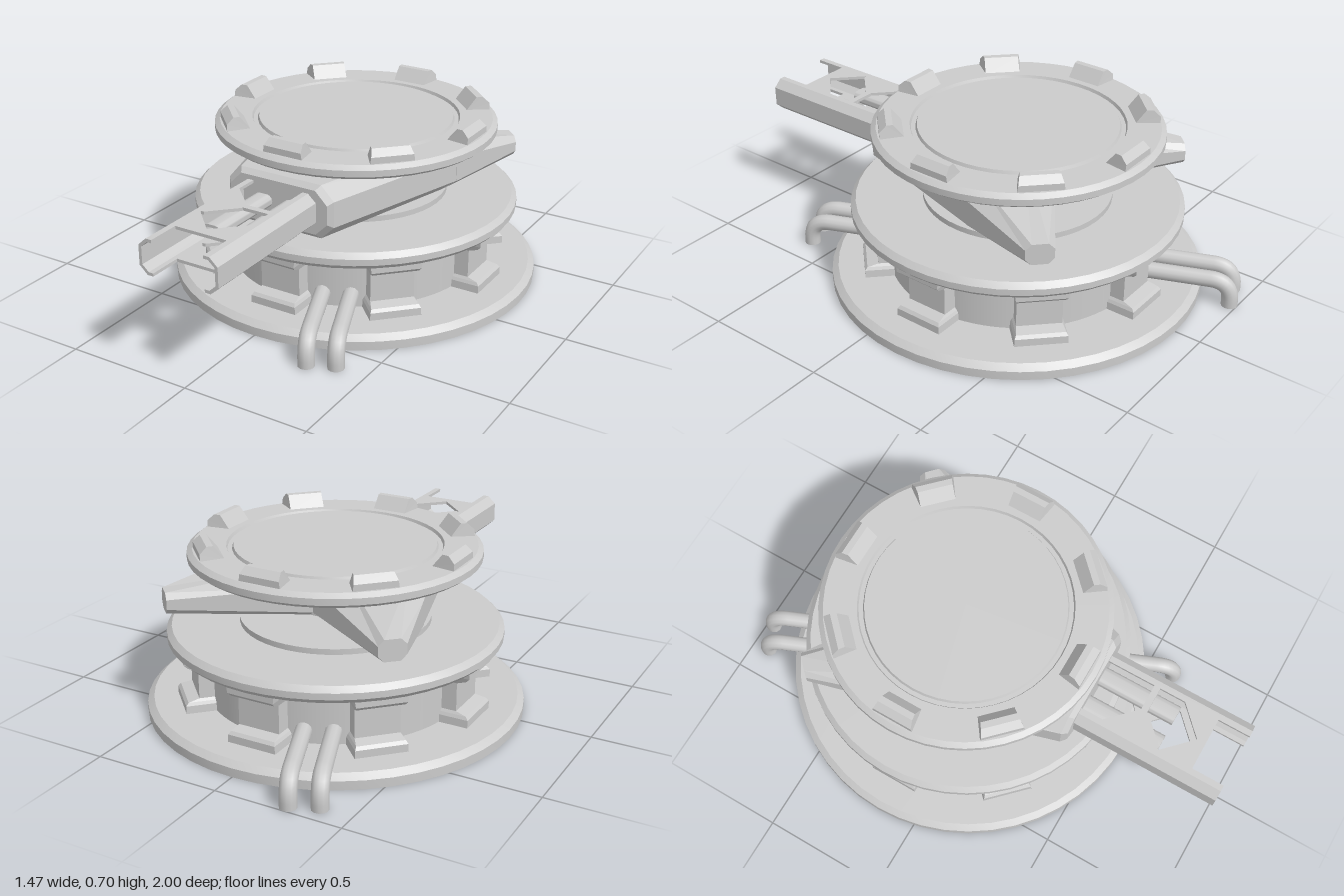
import * as THREE from 'three';
import { toCreasedNormals } from 'three/addons/utils/BufferGeometryUtils.js';

const AXIS_Z = -0.158; // the round parts turn about this line
const V2 = (x, y) => new THREE.Vector2(x, y);

export function createModel() {
  const root = new THREE.Group();
  const mat = new THREE.MeshStandardMaterial({ color: 0xcccccc, side: THREE.DoubleSide });
  const flat = new THREE.MeshStandardMaterial({ color: 0xcccccc, side: THREE.DoubleSide, flatShading: true });
  const turret = new THREE.Group();
  turret.name = 'roundStack';
  turret.position.z = AXIS_Z;
  root.add(turret);

  const add = (name, geo, parent = root, m = flat) => {
    const mesh = new THREE.Mesh(geo, m);
    mesh.name = name;
    parent.add(mesh);
    return mesh;
  };
  const shapeOf = pts => new THREE.Shape(pts.map(p => V2(p[0], p[1])));
  const extrude = (shape, depth) => new THREE.ExtrudeGeometry(shape, { depth, bevelEnabled: false, curveSegments: 6 });
  const lathe = (name, pts) => add(name, toCreasedNormals(
    new THREE.LatheGeometry(pts.map(p => V2(p[0], p[1])), 48), 0.4), turret, mat);

  // Hollow base rim, discs and the short necks above and below the gun body
  lathe('baseRim', [[0.7, 0.045], [0.715, 0.045], [0.727, 0.035], [0.727, 0], [0.737, 0], [0.737, 0.035],
    [0.712, 0.055], [0.7, 0.055]]);
  lathe('middleDisc', [[0, 0.28], [0.63, 0.28], [0.65, 0.3], [0.65, 0.325], [0.63, 0.345], [0, 0.345]]);
  lathe('lowerNeck', [[0.37, 0.34], [0.37, 0.367], [0, 0.367]]);
  lathe('upperNeck', [[0, 0.577], [0.37, 0.577], [0.37, 0.6]]);
  lathe('topDisc', [[0, 0.595], [0.54, 0.595], [0.56, 0.61], [0.56, 0.635], [0.54, 0.65], [0.412, 0.65],
    [0.407, 0.638], [0.39, 0.638], [0.385, 0.65], [0, 0.65]]);

  // Base plate, its opening notched under each of the eight columns
  const plateShape = new THREE.Shape();
  const opening = [];
  for (let k = 0; k < 48; k++) {
    const a = k * Math.PI / 24, x = 0.705 * Math.cos(a), y = 0.705 * Math.sin(a);
    if (k) plateShape.lineTo(x, y); else plateShape.moveTo(x, y);
  }
  for (let k = 0; k < 8; k++) {
    const a = k * Math.PI / 4;
    for (const [r, t] of [[0.495, -0.1], [0.61, -0.1], [0.61, 0.1], [0.495, 0.1]])
      opening.push(V2(r * Math.cos(a) - t * Math.sin(a), r * Math.sin(a) + t * Math.cos(a)));
    for (const b of [0.3, 0.393, 0.485]) opening.push(V2(0.505 * Math.cos(a + b), 0.505 * Math.sin(a + b)));
  }
  plateShape.holes.push(new THREE.Path(opening));
  add('basePlate', extrude(plateShape, 0.01).rotateX(-Math.PI / 2).translate(0, 0.045, 0), turret);

  // Skin over a run of cross-sections; closed ones also get their ends filled
  const loft = (rings, closed = true) => {
    const n = rings[0].length, idx = [];
    for (let r = 0; r < rings.length - 1; r++)
      for (let i = 0; i < (closed ? n : n - 1); i++) {
        const j = (i + 1) % n, a = r * n, b = a + n;
        idx.push(a + i, b + i, a + j, b + i, b + j, a + j);
      }
    const last = (rings.length - 1) * n;
    if (closed)
      for (let i = 1; i < n - 1; i++) idx.push(0, i, i + 1, last, last + i + 1, last + i);
    const g = new THREE.BufferGeometry();
    g.setAttribute('position', new THREE.Float32BufferAttribute(rings.flat(2), 3));
    g.setIndex(idx);
    const out = g.toNonIndexed();
    out.computeVertexNormals();
    return out;
  };

  // Hollow columns flaring at foot and head: [radius, height, half width]
  const column = loft([[0.61, 0.045, 0.1], [0.61, 0.085, 0.098], [0.6, 0.097, 0.092], [0.557, 0.107, 0.085],
    [0.557, 0.22, 0.085], [0.595, 0.235, 0.09], [0.61, 0.25, 0.095], [0.61, 0.285, 0.1]]
    .map(([r, y, w]) => [[0.495, y, -w], [r, y, -w], [r, y, w], [0.495, y, w]]).reverse(), false);
  const wall = new THREE.CylinderGeometry(0.505, 0.505, 0.237, 6, 1, true, Math.PI / 2 + 0.168, Math.PI / 4 - 0.336);
  wall.translate(0, 0.1635, 0);

  // Wedge-shaped block on the top rim
  const rimLug = extrude(shapeOf([[0.435, 0.645], [0.53, 0.645], [0.53, 0.675], [0.503, 0.7], [0.478, 0.7]]), 2);
  const p = rimLug.attributes.position;
  for (let i = 0; i < p.count; i++) {
    const half = 0.085 - (p.getY(i) - 0.645) * 0.15;
    p.setZ(i, (p.getZ(i) - 1) * half * p.getX(i) / 0.53);
  }

  for (let k = 0; k < 8; k++) {
    const turn = k * Math.PI / 4;
    add('drumColumn', column, turret).rotation.y = turn;
    add('drumWall', wall, turret, mat).rotation.y = turn;
    add('rimLug', rimLug, turret).rotation.y = turn;
  }

  // Octagon standing between two plan points [x, z], corners cut by cx and cy
  const octagon = (p, q, y0, y1, cx, cy) => {
    const f = cx / Math.hypot(q[0] - p[0], q[1] - p[1]);
    const at = (t, y) => [p[0] + (q[0] - p[0]) * t, y, p[1] + (q[1] - p[1]) * t];
    return [at(f, y0), at(1 - f, y0), at(1, y0 + cy), at(1, y1 - cy),
      at(1 - f, y1), at(f, y1), at(0, y1 - cy), at(0, y0 + cy)];
  };

  // Three-pointed body: blunt nose in front, two horns behind
  add('armBody', loft([
    octagon([-0.212, 0.405], [0.212, 0.405], 0.385, 0.56, 0.05, 0.05),
    octagon([-0.23, 0.385], [0.23, 0.385], 0.366, 0.578, 0.055, 0.055),
    octagon([-0.415, -0.24], [0.415, -0.24], 0.366, 0.578, 0.07, 0.055),
  ]));
  for (const s of [1, -1]) {
    const order = (inner, outer) => s > 0 ? [inner, outer] : [[-outer[0], outer[1]], [-inner[0], inner[1]]];
    const baseRing = octagon(...order([0, -0.235], [0.415, -0.235]), 0.366, 0.578, 0.07, 0.055);
    // the inner edge reaches further back, where the horns meet
    for (const v of baseRing) if (Math.abs(v[0]) < 1e-6) v[2] = -0.33;
    add(s > 0 ? 'leftHorn' : 'rightHorn', loft([
      baseRing,
      octagon(...order([0.44, -0.642], [0.515, -0.57]), 0.433, 0.515, 0.022, 0.022),
    ]));
  }

  // Channel rails on each side of the gun, open towards the middle
  const channel = [[0.108, 0.542], [0.132, 0.542], [0.165, 0.512], [0.165, 0.435], [0.132, 0.405], [0.108, 0.405],
    [0.108, 0.417], [0.127, 0.417], [0.153, 0.44], [0.153, 0.507], [0.127, 0.53], [0.108, 0.53]];
  for (const s of [1, -1]) {
    const g = extrude(shapeOf(channel.map(([x, y]) => [s * x, y])), 0.61);
    add(s > 0 ? 'leftRail' : 'rightRail', g.translate(0, 0, 0.39));
  }

  // Thin plates tying the rails together, outlined in plan as [x, z]
  const plate = (name, pts, y) => {
    const g = extrude(shapeOf(pts), 0.012);
    g.rotateX(Math.PI / 2).translate(0, y, 0);
    add(name, g);
  };
  const yoke = [[-0.112, 0.725], [0, 0.835], [0.112, 0.725], [0.112, 0.87], [-0.112, 0.87]];
  plate('topYoke', yoke, 0.542);
  plate('bottomYoke', yoke, 0.417);
  plate('topGusset', [[-0.112, 0.49], [0, 0.6], [0, 0.63], [-0.095, 0.725], [-0.112, 0.725]], 0.542);
  plate('topCrossbar', [[-0.02, 0.6], [0.112, 0.6], [0.112, 0.625], [-0.02, 0.625]], 0.542);
  plate('bottomBrace', [[-0.112, 0.49], [0, 0.6], [0.112, 0.49], [0.112, 0.725], [0.095, 0.725], [0, 0.63],
    [-0.095, 0.725], [-0.112, 0.725]], 0.417);

  // Twin flattened barrels with slotted bores
  const pill = (Kind, halfW, r) => {
    const p = new Kind(), c = halfW - r;
    p.absarc(c, 0, r, -Math.PI / 2, Math.PI / 2);
    p.absarc(-c, 0, r, Math.PI / 2, Math.PI * 1.5);
    p.closePath();
    return p;
  };
  for (const s of [1, -1]) {
    const shape = pill(THREE.Shape, 0.04, 0.025);
    shape.holes.push(pill(THREE.Path, 0.03, 0.014));
    const g = toCreasedNormals(extrude(shape, 0.33), 0.8);
    add(s > 0 ? 'leftBarrel' : 'rightBarrel', g.translate(s * 0.065, 0.473, 0.395), root, mat);
  }

  // Pairs of pipes leaving the drum and bending down, front and back
  const path = new THREE.CurvePath();
  const P = (r, y) => new THREE.Vector3(0, y, r);
  path.add(new THREE.LineCurve3(P(0.47, 0.105), P(0.775, 0.105)));
  path.add(new THREE.QuadraticBezierCurve3(P(0.775, 0.105), P(0.857, 0.105), P(0.857, 0.023)));
  path.add(new THREE.LineCurve3(P(0.857, 0.023), P(0.857, 0)));
  const pipe = new THREE.TubeGeometry(path, 36, 0.032, 12);
  const cap = new THREE.CircleGeometry(0.032, 12).rotateX(Math.PI / 2);
  for (const turn of [0, Math.PI]) {
    const pair = new THREE.Group();
    pair.name = turn ? 'backPipes' : 'frontPipes';
    pair.rotation.y = Math.PI / 8 + turn;
    turret.add(pair);
    for (const x of [-0.054, 0.054]) {
      add('pipe', pipe, pair, mat).position.x = x;
      add('pipeEnd', cap, pair, mat).position.set(x, 0.001, 0.857);
    }
  }
  return root;
}
